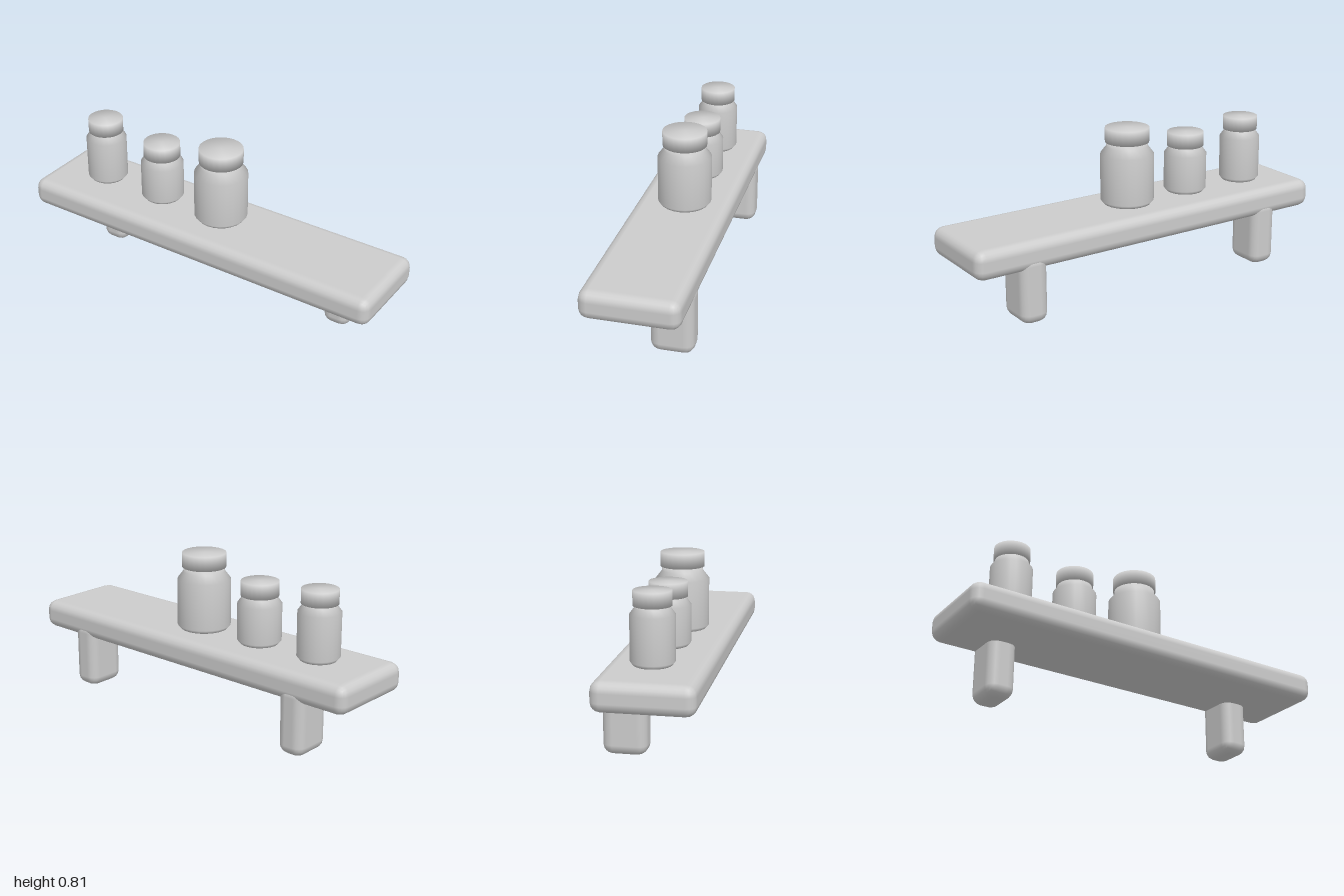
import * as THREE from 'three';
import { RoundedBoxGeometry } from 'three/addons/geometries/RoundedBoxGeometry.js';

const grey = new THREE.MeshStandardMaterial({ color: 0xcccccc });
grey.name = 'plain grey';

function addMesh(parent, name, geometry, x = 0, y = 0, z = 0) {
  const mesh = new THREE.Mesh(geometry, grey);
  mesh.name = name;
  mesh.position.set(x, y, z);
  parent.add(mesh);
  return mesh;
}

// Smoothly shaded turned solid from [radius, height] pairs, bottom to top
function turned(profile) {
  return new THREE.LatheGeometry(profile.map(([r, y]) => new THREE.Vector2(r, y)), 24);
}

// Jar with a chamfered foot, sloping shoulder, short neck and a wider lid
function makeJar({ name, x, radius, neck, lid, shoulderY, neckY, lidY, topY }) {
  const base = 0.425;
  const jar = new THREE.Group();
  jar.name = name;
  addMesh(jar, 'jarBody', turned([
    [0, base], [radius - 0.015, base], [radius, base + 0.018],
    [radius, shoulderY], [neck, neckY], [neck, lidY + 0.01], [0, lidY + 0.01],
  ]));
  addMesh(jar, 'jarLid', turned([[0, lidY], [lid, lidY], [lid, topY], [0, topY]]));
  jar.position.set(x, 0, -0.012);
  return jar;
}

export function createModel() {
  const group = new THREE.Group();
  group.name = 'shelfWithJars';

  // Shelf board
  addMesh(group, 'shelfBoard', new RoundedBoxGeometry(2, 0.146, 0.48, 2, 0.05), 0, 0.344, 0);

  // Pair of brackets under the back half
  for (const side of [-1, 1]) {
    addMesh(group, side < 0 ? 'rightBracket' : 'leftBracket',
      new RoundedBoxGeometry(0.144, 0.345, 0.213, 2, 0.05), side * 0.696, 0.1725, -0.1345);
  }

  // Row of jars
  const jars = [
    { name: 'tallJar', x: -0.69, radius: 0.105, neck: 0.083, lid: 0.09,
      shoulderY: 0.66, neckY: 0.69, lidY: 0.7, topY: 0.77 },
    { name: 'shortJar', x: -0.33, radius: 0.11, neck: 0.088, lid: 0.094,
      shoulderY: 0.625, neckY: 0.655, lidY: 0.665, topY: 0.738 },
    { name: 'largeJar', x: 0.032, radius: 0.135, neck: 0.104, lid: 0.111,
      shoulderY: 0.68, neckY: 0.72, lidY: 0.742, topY: 0.815 },
  ];
  for (const jar of jars) group.add(makeJar(jar));

  return group;
}
